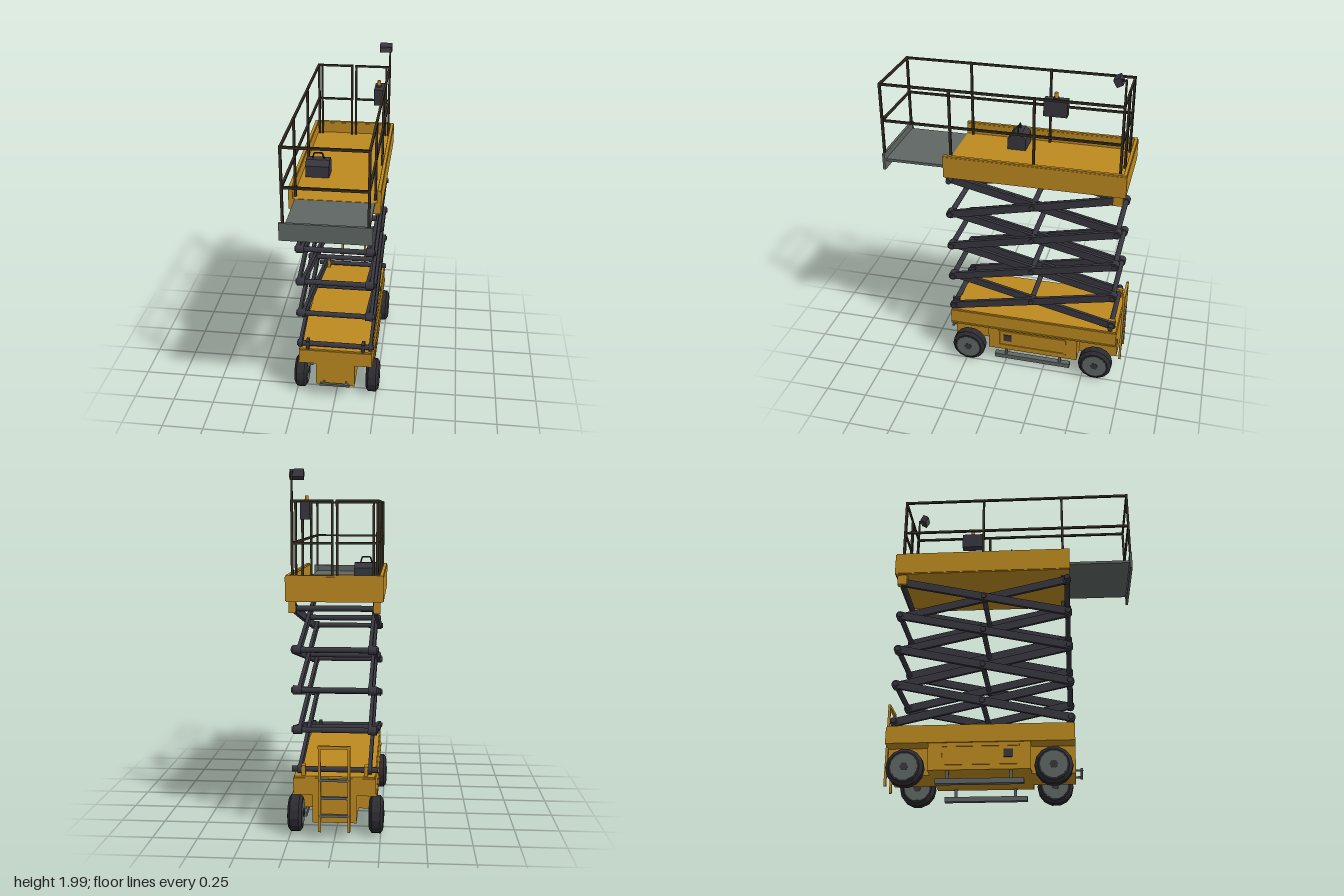
import * as THREE from 'three';

const mat = (name, color) => {
  const m = new THREE.MeshStandardMaterial({ color });
  m.name = name;
  return m;
};

export function createModel() {
  const yellow = mat('yellow paint', 0xbd8a20);
  const steel = mat('dark steel', 0x37363e);
  const rubber = mat('rubber', 0x2b2b31);
  const grey = mat('grey metal', 0x5f6664);
  const railMat = mat('rail brown', 0x352d22);
  const amber = mat('amber', 0xc9821a);

  const model = new THREE.Group();
  model.name = 'scissorLift';

  const add = (name, geo, m, x = 0, y = 0, z = 0) => {
    const mesh = new THREE.Mesh(geo, m);
    mesh.name = name;
    mesh.position.set(x, y, z);
    model.add(mesh);
    return mesh;
  };
  // box given by its min and max on every axis
  const box = (name, m, x0, x1, y0, y1, z0, z1) =>
    add(name, new THREE.BoxGeometry(x1 - x0, y1 - y0, z1 - z0), m,
      (x0 + x1) / 2, (y0 + y1) / 2, (z0 + z1) / 2);
  // square bar between two points along one axis
  const bar = (name, m, a, b, t) => {
    const h = t / 2;
    return box(name, m, Math.min(a[0], b[0]) - h, Math.max(a[0], b[0]) + h,
      Math.min(a[1], b[1]) - h, Math.max(a[1], b[1]) + h,
      Math.min(a[2], b[2]) - h, Math.max(a[2], b[2]) + h);
  };
  // round rod across the model
  const rod = (name, m, r, len, x, y, z, sides = 12) =>
    add(name, new THREE.CylinderGeometry(r, r, len, sides).rotateZ(Math.PI / 2), m, x, y, z);

  // Chassis: wide upper body, wide middle, narrow between the wheels
  box('chassisUpper', yellow, -0.225, 0.225, 0.25, 0.345, -0.7, 0.355);
  box('chassisTop', yellow, -0.22, 0.22, 0.345, 0.355, -0.695, 0.35);
  box('chassisCore', yellow, -0.12, 0.12, 0.095, 0.25, -0.7, 0.355);
  box('chassisMiddle', yellow, -0.22, 0.22, 0.095, 0.25, -0.46, 0.11);
  bar('frontStep', grey, [-0.085, 0.122, 0.388], [0.085, 0.122, 0.388], 0.014);
  for (const x of [-0.07, 0.07]) bar('frontStepBracket', grey, [x, 0.122, 0.35], [x, 0.122, 0.388], 0.01);

  for (const s of [-1, 1]) {
    // Side trim, door frame and socket
    bar('sideTrim', yellow, [s * 0.225, 0.255, -0.692], [s * 0.225, 0.255, 0.347], 0.01);
    const px = s * 0.221;
    for (const y of [0.128, 0.232]) bar('doorFrame', yellow, [px, y, -0.385], [px, y, 0.042], 0.01);
    for (const z of [-0.385, 0.042]) bar('doorFrame', yellow, [px, 0.128, z], [px, 0.232, z], 0.01);
    box('sideSocket', steel, px - 0.004, px + 0.004, 0.163, 0.208, -0.04, 0.012);

    // Pothole guard hung under the side
    box('potholeGuard', grey, s * 0.2 - 0.018, s * 0.2 + 0.018, 0.02, 0.048, -0.415, 0.072);
    for (const z of [0, -0.35]) bar('guardHanger', grey, [s * 0.2, 0.04, z], [s * 0.2, 0.1, z], 0.016);

    // Wheels
    const profile = [[0, -0.039], [0.085, -0.039], [0.105, -0.024], [0.105, 0.024], [0.085, 0.039], [0, 0.039]]
      .map(p => new THREE.Vector2(...p));
    for (const z of [0.235, -0.58]) {
      const tyre = new THREE.LatheGeometry(profile, 14).rotateZ(Math.PI / 2).toNonIndexed();
      tyre.computeVertexNormals();
      add('tyre', tyre, rubber, s * 0.225, 0.106, z);
      rod('wheelRim', grey, 0.075, 0.082, s * 0.225, 0.106, z, 14);
      rod('wheelHub', steel, 0.024, 0.088, s * 0.225, 0.106, z, 6);
    }

    // Rear ladder rail
    bar('ladderRail', yellow, [s * 0.08, 0.055, -0.717], [s * 0.08, 0.525, -0.717], 0.014);
  }
  bar('ladderTop', yellow, [-0.08, 0.523, -0.717], [0.08, 0.523, -0.717], 0.016);
  for (const y of [0.14, 0.24, 0.34]) bar('ladderRung', grey, [-0.08, y, -0.717], [0.08, y, -0.717], 0.014);

  // Scissor stack: crossed arms on both sides, joined by cross tubes
  const levels = [0.385, 0.605, 0.825, 1.045, 1.268];
  const zF = 0.335, zB = -0.66;
  const arm = (x, y0, z0, y1, z1) => {
    const len = Math.hypot(y1 - y0, z1 - z0);
    const a = add('scissorArm', new THREE.BoxGeometry(0.02, 0.046, len), steel, x, (y0 + y1) / 2, (z0 + z1) / 2);
    a.rotation.x = Math.atan2(-(y1 - y0), z1 - z0);
    rod('armEnd', steel, 0.025, 0.024, x, y0, z0);
    rod('armEnd', steel, 0.025, 0.024, x, y1, z1);
  };
  levels.forEach((y, i) => {
    for (const z of [zF, zB]) rod('crossTube', steel, 0.016, 0.47, 0, y, z);
    if (i === levels.length - 1) return;
    const top = levels[i + 1];
    rod('centreTube', steel, 0.016, 0.47, 0, (y + top) / 2, (zF + zB) / 2);
    for (const s of [-1, 1]) {
      arm(s * 0.215, y, zF, top, zB);
      arm(s * 0.191, y, zB, top, zF);
    }
  });
  for (const s of [-1, 1]) {
    const x = s * 0.225;
    box('upperBracket', yellow, x - 0.018, x + 0.018, 1.245, 1.31, -0.685, -0.628);
    box('frontSlide', steel, s * 0.17 - 0.01, s * 0.17 + 0.01, 1.25, 1.31, 0.3, 0.35);
    for (const z of [zF, zB]) box('lowerBracket', z === zB ? yellow : steel, s * 0.17 - 0.01, s * 0.17 + 0.01, 0.35, 0.41, z - 0.025, z + 0.02);
  }

  // Platform tray, open at the front
  box('platformFloor', yellow, -0.255, 0.255, 1.305, 1.372, -0.695, 0.353);
  for (const s of [-1, 1]) {
    const x = s * 0.248;
    box('platformSide', yellow, x - 0.012, x + 0.012, 1.31, 1.437, -0.7, 0.355);
    box('platformSideLip', yellow, x - 0.009, x + 0.009, 1.437, 1.446, -0.695, 0.355);
  }
  box('platformBack', yellow, -0.25, 0.25, 1.31, 1.437, -0.7, -0.676);
  box('platformBackLip', yellow, -0.25, 0.25, 1.437, 1.446, -0.697, -0.679);

  // Extension deck with toe board
  box('extensionDeck', grey, -0.225, 0.225, 1.354, 1.37, 0.353, 0.72);
  box('toeBoard', grey, -0.247, 0.247, 1.308, 1.41, 0.713, 0.728);

  // Guard rails
  const T = 1.832, M = 1.612, zEnd = 0.72, zRear = -0.658;
  for (const s of [-1, 1]) {
    const x = s * 0.225;
    for (const y of [T, M]) {
      bar('sideRail', railMat, [x, y, zRear], [x, y, zEnd], 0.013);
      bar('rearRail', railMat, [s * 0.012, y, zRear], [x, y, zRear], 0.012);
    }
    bar('frontPost', railMat, [x, 1.36, zEnd], [x, T, zEnd], 0.014);
    for (const z of [0.315, -0.17, zRear]) bar('sidePost', railMat, [x, 1.375, z], [x, T, z], 0.014);
    bar('rearPost', railMat, [s * 0.205, 1.375, zRear], [s * 0.205, T, zRear], 0.012);
    bar('gatePost', railMat, [s * 0.013, 1.375, zRear], [s * 0.013, T, zRear], 0.013);
  }
  for (const y of [T, M]) bar('frontRail', railMat, [-0.225, y, zEnd], [0.225, y, zEnd], 0.013);

  // Work lamp on a pole
  bar('lampPole', railMat, [0.225, T, zRear], [0.225, 1.98, zRear], 0.011);
  bar('lampArm', railMat, [0.225, 1.98, zRear], [0.225, 1.98, -0.63], 0.01);
  const lamp = new THREE.Group();
  lamp.name = 'workLamp';
  const lampBody = new THREE.Mesh(new THREE.BoxGeometry(0.075, 0.046, 0.038), steel);
  lampBody.name = 'lampBody';
  const lens = new THREE.Mesh(new THREE.BoxGeometry(0.065, 0.036, 0.004), grey);
  lens.name = 'lampLens';
  lens.position.z = 0.02;
  lamp.add(lampBody, lens);
  lamp.position.set(0.202, 1.969, -0.617);
  lamp.rotation.x = 0.5;
  model.add(lamp);

  // Control box and beacon
  box('controlBox', steel, 0.163, 0.217, 1.733, 1.828, -0.35, -0.218);
  add('beaconBase', new THREE.CylinderGeometry(0.016, 0.016, 0.012, 12), steel, 0.187, 1.832, -0.283);
  add('beacon', new THREE.CylinderGeometry(0.01, 0.012, 0.03, 12), amber, 0.187, 1.85, -0.283);

  // Toolbox with sloped lid and handle
  const shape = new THREE.Shape([[-0.055, 0], [0.055, 0], [0.055, 0.07], [0.025, 0.1], [-0.025, 0.1], [-0.055, 0.07]]
    .map(p => new THREE.Vector2(...p)));
  const body = new THREE.ExtrudeGeometry(shape, { depth: 0.14, bevelEnabled: false }).rotateY(Math.PI / 2);
  add('toolbox', body, steel, -0.21, 1.372, 0);
  const path = new THREE.CurvePath();
  const pts = [[-0.035, 0], [-0.024, 0.036], [0.024, 0.036], [0.035, 0]].map(p => new THREE.Vector3(p[0], p[1], 0));
  for (let i = 0; i < 3; i++) path.add(new THREE.LineCurve3(pts[i], pts[i + 1]));
  add('toolboxHandle', new THREE.TubeGeometry(path, 24, 0.005, 6), rubber, -0.14, 1.47, 0);

  return model;
}
